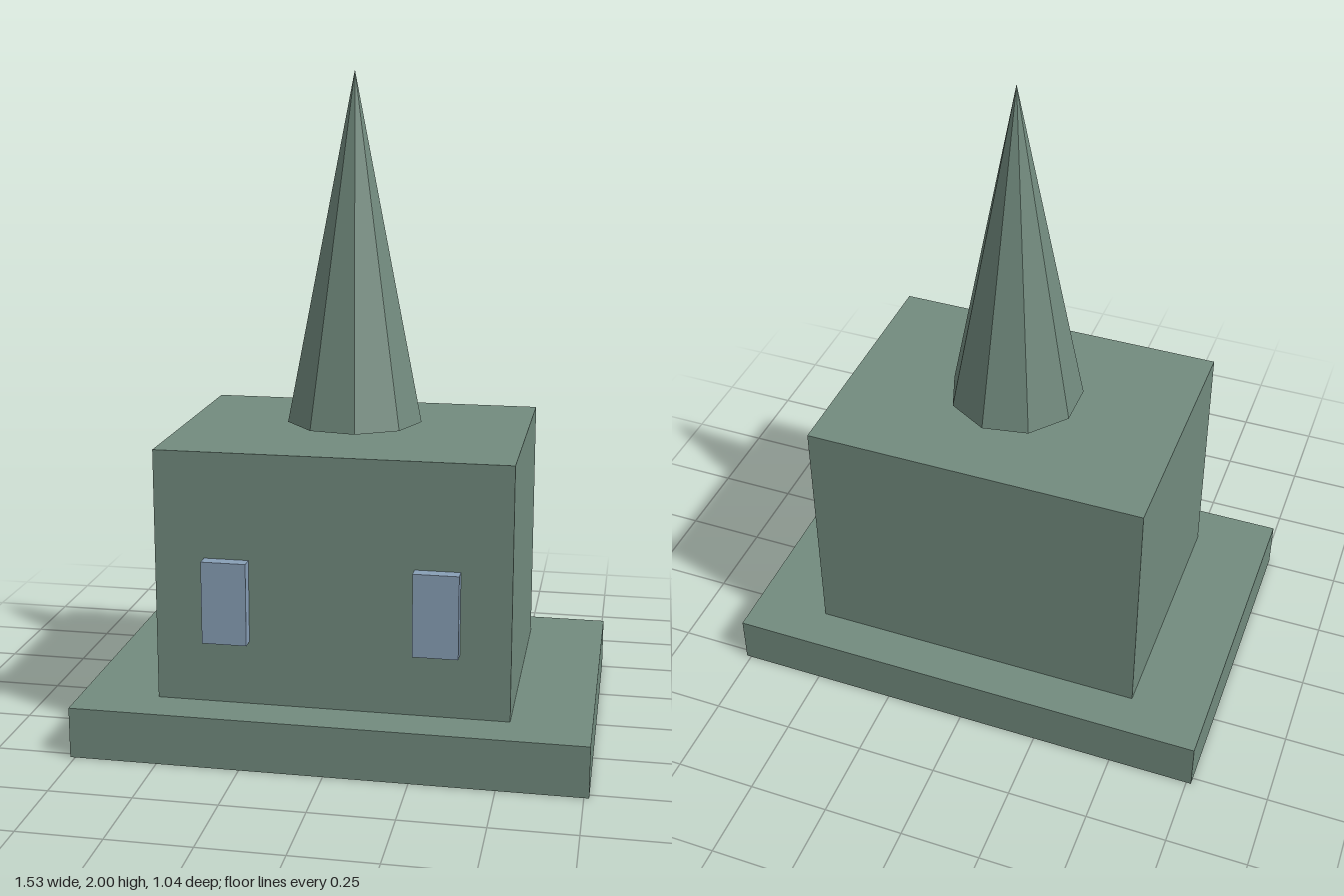
import * as THREE from 'three';

export function createModel() {
  const model = new THREE.Group();
  const stone = new THREE.MeshStandardMaterial({ color: 0x728b7e, flatShading: true });
  stone.name = 'grey green stone';
  const glass = new THREE.MeshStandardMaterial({ color: 0x889fb6, flatShading: true });
  glass.name = 'pale blue glass';

  const add = (name, geometry, material, x, y, z) => {
    const mesh = new THREE.Mesh(geometry, material);
    mesh.name = name;
    mesh.position.set(x, y, z);
    model.add(mesh);
    return mesh;
  };

  // Wide plinth and the main block standing on it
  add('plinth', new THREE.BoxGeometry(1.53, 0.155, 1.045), stone, 0, 0.0775, 0);
  add('body', new THREE.BoxGeometry(1.056, 0.765, 0.78), stone, 0, 0.5375, 0);

  // Nine-sided spire, just clear of the roof, with one corner towards +x
  const spire = add('spire', new THREE.ConeGeometry(0.207, 1.055, 9), stone, 0, 1.4725, 0);
  spire.rotation.y = Math.PI / 2;

  // Pair of windows standing proud of the front wall
  for (const side of [-1, 1]) {
    add(side > 0 ? 'leftWindow' : 'rightWindow',
      new THREE.BoxGeometry(0.134, 0.25, 0.04), glass, side * 0.312, 0.474, 0.409);
  }
  return model;
}
